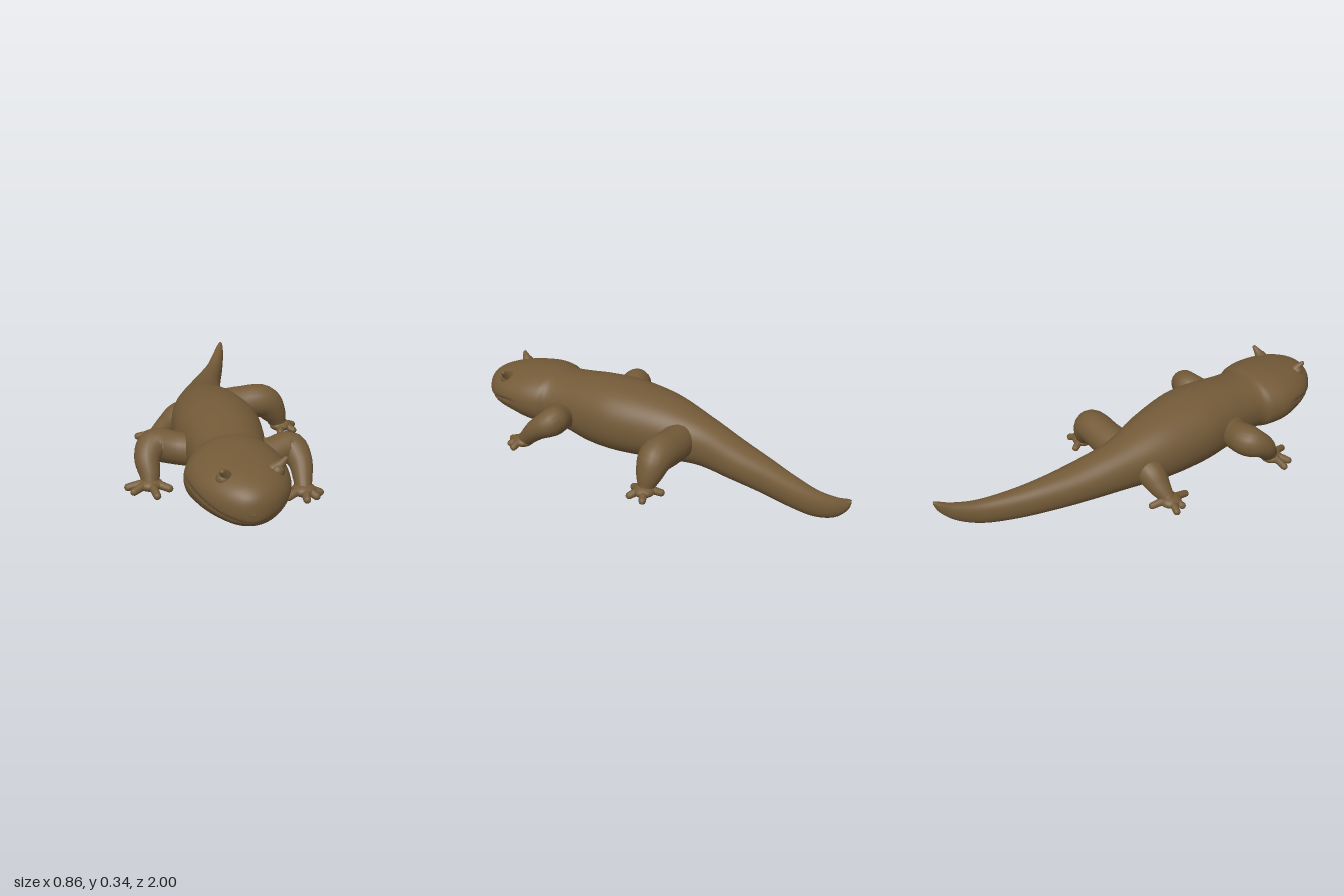
import * as THREE from 'three';

const skin = new THREE.MeshStandardMaterial({ color: 0x735a38 });
skin.name = 'brown skin';

// Joins closed rings of points into one smooth skin
function skinRings(rings, name) {
  const n = rings[0].length, index = [];
  for (let i = 0; i < rings.length - 1; i++) {
    for (let j = 0; j < n; j++) {
      const a = i * n + j, b = i * n + (j + 1) % n;
      index.push(a, b, a + n, b, b + n, a + n);
    }
  }
  const geo = new THREE.BufferGeometry().setFromPoints(rings.flat());
  geo.setIndex(index);
  geo.computeVertexNormals();
  const mesh = new THREE.Mesh(geo, skin);
  mesh.name = name;
  return mesh;
}

// Tapered tube with a round tip; each point is [x, y, z, radius]
function limbTube(points, name, sides = 20, steps = 24) {
  const curve = new THREE.CatmullRomCurve3(points.map(p => new THREE.Vector3(p[0], p[1], p[2])));
  const radii = new THREE.CatmullRomCurve3(points.map((p, i) => new THREE.Vector3(p[3], i, 0)));
  const frames = curve.computeFrenetFrames(steps);
  const rings = [];
  const addRing = (c, f, r) => rings.push(Array.from({ length: sides }, (_, j) => {
    const a = j / sides * Math.PI * 2;
    return c.clone().addScaledVector(frames.normals[f], r * Math.cos(a))
      .addScaledVector(frames.binormals[f], r * Math.sin(a));
  }));
  // u from getUtoTmapping keeps centre and radius in step
  for (let i = 0; i <= steps; i++) {
    const t = curve.getUtoTmapping(i / steps);
    addRing(curve.getPoint(t), i, radii.getPoint(t).x);
  }
  const r = points[points.length - 1][3], end = curve.getPoint(1);
  for (let k = 1; k <= 6; k++) {
    const a = k / 6 * Math.PI / 2;
    addRing(end.clone().addScaledVector(frames.tangents[steps], r * Math.sin(a)), steps,
      Math.max(r * Math.cos(a), 0.0005));
  }
  return skinRings(rings, name);
}

// Body, head and tail: [z, left edge, right edge, bottom, top]
function makeBody() {
  const stations = [
    [-1, 0.185, 0.195, 0.205, 0.215], [-0.98, 0.165, 0.2, 0.155, 0.21],
    [-0.92, 0.13, 0.192, 0.095, 0.185], [-0.82, 0.085, 0.172, 0.052, 0.166],
    [-0.69, 0.03, 0.145, 0.037, 0.17], [-0.55, -0.025, 0.12, 0.035, 0.187],
    [-0.39, -0.08, 0.105, 0.035, 0.212], [-0.2, -0.135, 0.09, 0.033, 0.256],
    [0, -0.185, 0.14, 0.013, 0.31], [0.2, -0.2, 0.18, 0.002, 0.335],
    [0.35, -0.185, 0.175, 0.004, 0.331], [0.48, -0.168, 0.158, 0.026, 0.314],
    [0.57, -0.168, 0.16, 0.034, 0.304], [0.62, -0.195, 0.185, 0.034, 0.308],
    [0.7, -0.212, 0.198, 0.042, 0.306], [0.8, -0.195, 0.192, 0.058, 0.292],
    [0.88, -0.158, 0.168, 0.07, 0.275], [0.94, -0.11, 0.127, 0.082, 0.253],
    [0.975, -0.065, 0.085, 0.1, 0.228], [0.993, -0.028, 0.048, 0.12, 0.2],
    [1, 0.009, 0.011, 0.155, 0.158],
  ];
  const across = new THREE.CatmullRomCurve3(stations.map(s => new THREE.Vector3(s[1], s[2], s[0])), false, 'catmullrom');
  const upright = new THREE.CatmullRomCurve3(stations.map(s => new THREE.Vector3(s[3], s[4], s[0])), false, 'catmullrom');
  const rings = [], steps = 200, sides = 112;
  const soft = v => Math.sign(v) * Math.abs(v) ** 0.93;
  for (let i = 0; i <= steps; i++) {
    const w = across.getPoint(i / steps), h = upright.getPoint(i / steps);
    const cx = (w.x + w.y) / 2, hw = (w.y - w.x) / 2;
    const cy = (h.x + h.y) / 2, hh = (h.y - h.x) / 2;
    const jaw = THREE.MathUtils.smoothstep(w.z, 0.7, 0.8);
    rings.push(Array.from({ length: sides }, (_, j) => {
      const a = j / sides * Math.PI * 2;
      const c = soft(Math.cos(a)), s = soft(Math.sin(a));
      const x = cx + hw * c, y = cy + hh * s;
      // Mouth: a narrow curved groove with the lower jaw set slightly in
      const d = y - (0.12 + 1.5 * (x - 0.01) ** 2);
      const inset = 1 - jaw * (0.045 * Math.exp(-((d / 0.006) ** 2)) + (d < 0 ? 0.02 : 0));
      return new THREE.Vector3(cx + hw * c * inset, cy + hh * s * inset, w.z);
    }));
  }
  return skinRings(rings, 'body');
}

// Leg path plus a palm and toes fanning out from the ankle
function makeLeg(name, path, palm, toes) {
  const leg = new THREE.Group();
  leg.name = name;
  leg.add(limbTube(path, 'limb'));
  const pad = new THREE.Mesh(new THREE.SphereGeometry(1, 24, 16), skin);
  pad.name = 'palm';
  pad.scale.set(0.052, 0.027, 0.05);
  pad.position.set(...palm);
  leg.add(pad);
  for (const [x, y, z] of toes) {
    const mid = [(palm[0] + x) / 2, (palm[1] + y) / 2 + 0.005, (palm[2] + z) / 2, 0.018];
    leg.add(limbTube([[...palm, 0.022], mid, [x, y, z, 0.016]], 'toe', 12, 8));
  }
  return leg;
}

export function createModel() {
  const model = new THREE.Group();
  model.name = 'lizard';
  model.add(makeBody());

  // Pointed brows above the eyes, each with a low eye bulge
  const brows = [
    ['leftBrow', [0.095, 0.235, 0.82], [0.135, 0.267, 0.825], [0.163, 0.293, 0.82], [0.128, 0.25, 0.835]],
    ['rightBrow', [-0.07, 0.235, 0.86], [-0.08, 0.268, 0.88], [-0.092, 0.29, 0.9], [-0.085, 0.25, 0.875]],
  ];
  for (const [name, base, mid, tip, eyeAt] of brows) {
    model.add(limbTube([[...base, 0.04], [...mid, 0.022], [...tip, 0.01]], name, 16, 10));
    const eye = new THREE.Mesh(new THREE.SphereGeometry(0.028, 20, 14), skin);
    eye.name = 'eye';
    eye.position.set(...eyeAt);
    model.add(eye);
  }

  model.add(makeLeg('frontLeftLeg',
    [[0.08, 0.16, 0.47, 0.07], [0.18, 0.165, 0.465, 0.066], [0.265, 0.178, 0.445, 0.066],
      [0.295, 0.14, 0.505, 0.052], [0.295, 0.085, 0.565, 0.04], [0.292, 0.055, 0.595, 0.034]],
    [0.292, 0.052, 0.6],
    [[0.358, 0.04, 0.608], [0.335, 0.04, 0.645], [0.29, 0.04, 0.67], [0.222, 0.038, 0.633]]));

  model.add(makeLeg('frontRightLeg',
    [[-0.1, 0.16, 0.4, 0.07], [-0.2, 0.165, 0.36, 0.07], [-0.295, 0.18, 0.355, 0.072],
      [-0.33, 0.15, 0.405, 0.056], [-0.325, 0.095, 0.45, 0.044], [-0.325, 0.065, 0.47, 0.036]],
    [-0.325, 0.06, 0.475],
    [[-0.417, 0.05, 0.472], [-0.395, 0.05, 0.52], [-0.305, 0.048, 0.568], [-0.25, 0.05, 0.508]]));

  model.add(makeLeg('backLeftLeg',
    [[0.04, 0.16, -0.12, 0.08], [0.15, 0.17, -0.13, 0.08], [0.265, 0.172, -0.13, 0.078],
      [0.315, 0.115, -0.13, 0.06], [0.34, 0.06, -0.127, 0.036]],
    [0.35, 0.05, -0.127],
    [[0.412, 0.038, -0.158], [0.403, 0.036, -0.085], [0.335, 0.038, -0.062], [0.318, 0.042, -0.192]]));

  model.add(makeLeg('backRightLeg',
    [[-0.06, 0.14, -0.1, 0.075], [-0.14, 0.13, -0.1, 0.068], [-0.2, 0.09, -0.1, 0.052],
      [-0.255, 0.052, -0.095, 0.032]],
    [-0.265, 0.045, -0.09],
    [[-0.337, 0.036, -0.112], [-0.318, 0.034, -0.065], [-0.262, 0.033, 0], [-0.238, 0.036, -0.17]]));

  return model;
}
